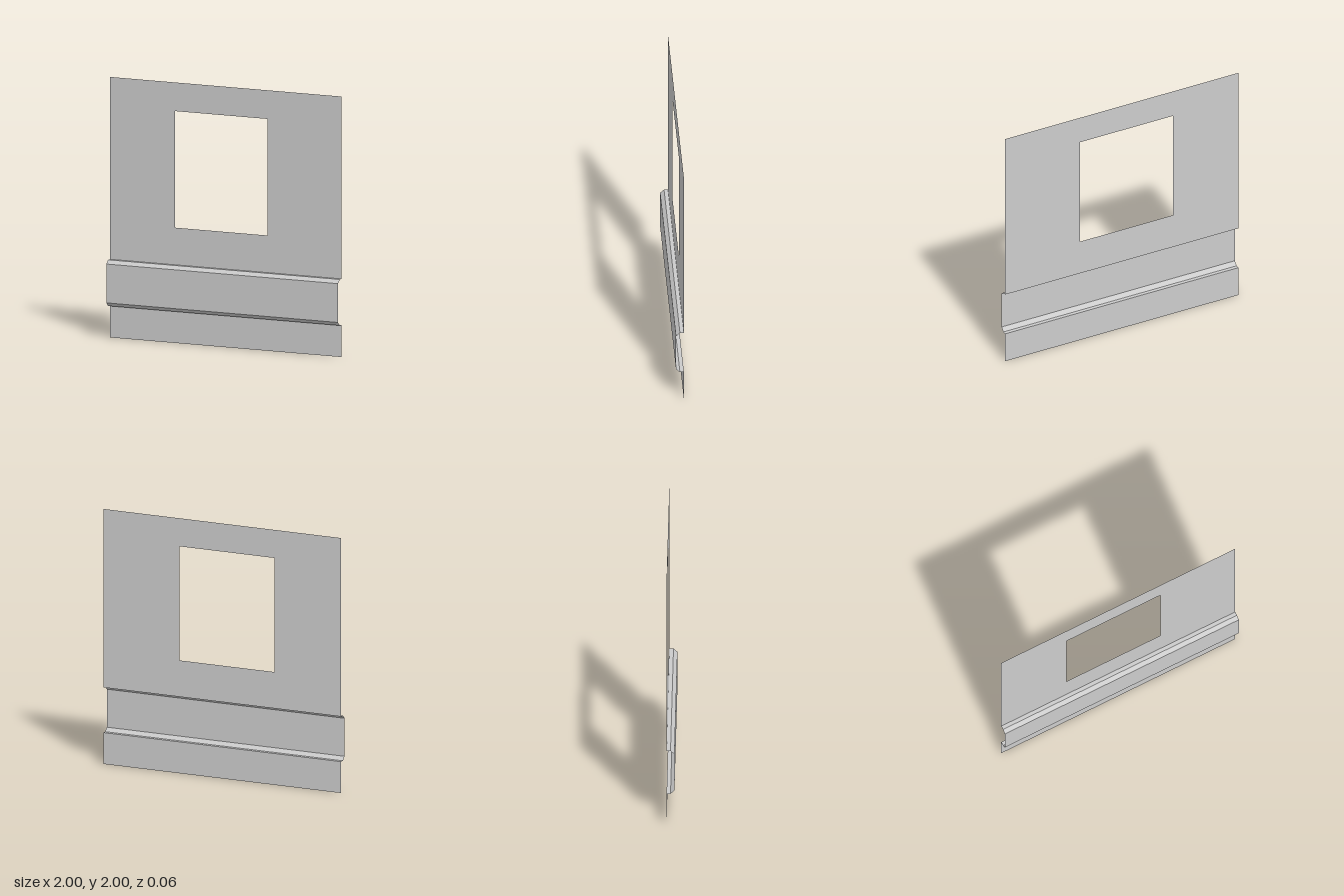
import * as THREE from 'three';

const material = new THREE.MeshStandardMaterial({
  color: 0xcccccc, flatShading: true, side: THREE.DoubleSide,
});

const HALF = 1;      // half width of the sheet
const BACK = -0.03;  // plane of the wall
const FRONT = 0.03;  // plane of the raised band

// Full-width flat strip between two points [y, z] of the side profile
function strip(name, [y0, z0], [y1, z1]) {
  const geometry = new THREE.PlaneGeometry(2 * HALF, Math.hypot(y1 - y0, z1 - z0));
  geometry.rotateX(Math.atan2(z0 - z1, y0 - y1));
  geometry.translate(0, (y0 + y1) / 2, (z0 + z1) / 2);
  const mesh = new THREE.Mesh(geometry, material);
  mesh.name = name;
  return mesh;
}

function rectangle(PathType, x0, y0, x1, y1) {
  return new PathType([[x0, y0], [x1, y0], [x1, y1], [x0, y1]].map(([x, y]) => new THREE.Vector2(x, y)));
}

export function createModel() {
  const group = new THREE.Group();
  group.name = 'wallPanel';

  // Upper wall with the window opening
  const wall = rectangle(THREE.Shape, -HALF, 0.6, HALF, 2);
  wall.holes.push(rectangle(THREE.Path, -0.44, 0.885, 0.36, 1.78));
  const upperWall = new THREE.Mesh(new THREE.ShapeGeometry(wall), material);
  upperWall.name = 'upperWall';
  upperWall.position.z = BACK;
  group.add(upperWall);

  // Folded side profile below the wall: ledge, bevel, band, bevel, ledge, base
  const profile = [
    [0.6, BACK], [0.6, 0], [0.572, FRONT],
    [0.274, FRONT], [0.246, 0], [0.246, BACK], [0, BACK],
  ];
  const names = ['topLedge', 'topBevel', 'raisedBand', 'bottomBevel', 'bottomLedge', 'baseWall'];
  names.forEach((name, i) => group.add(strip(name, profile[i], profile[i + 1])));

  return group;
}
